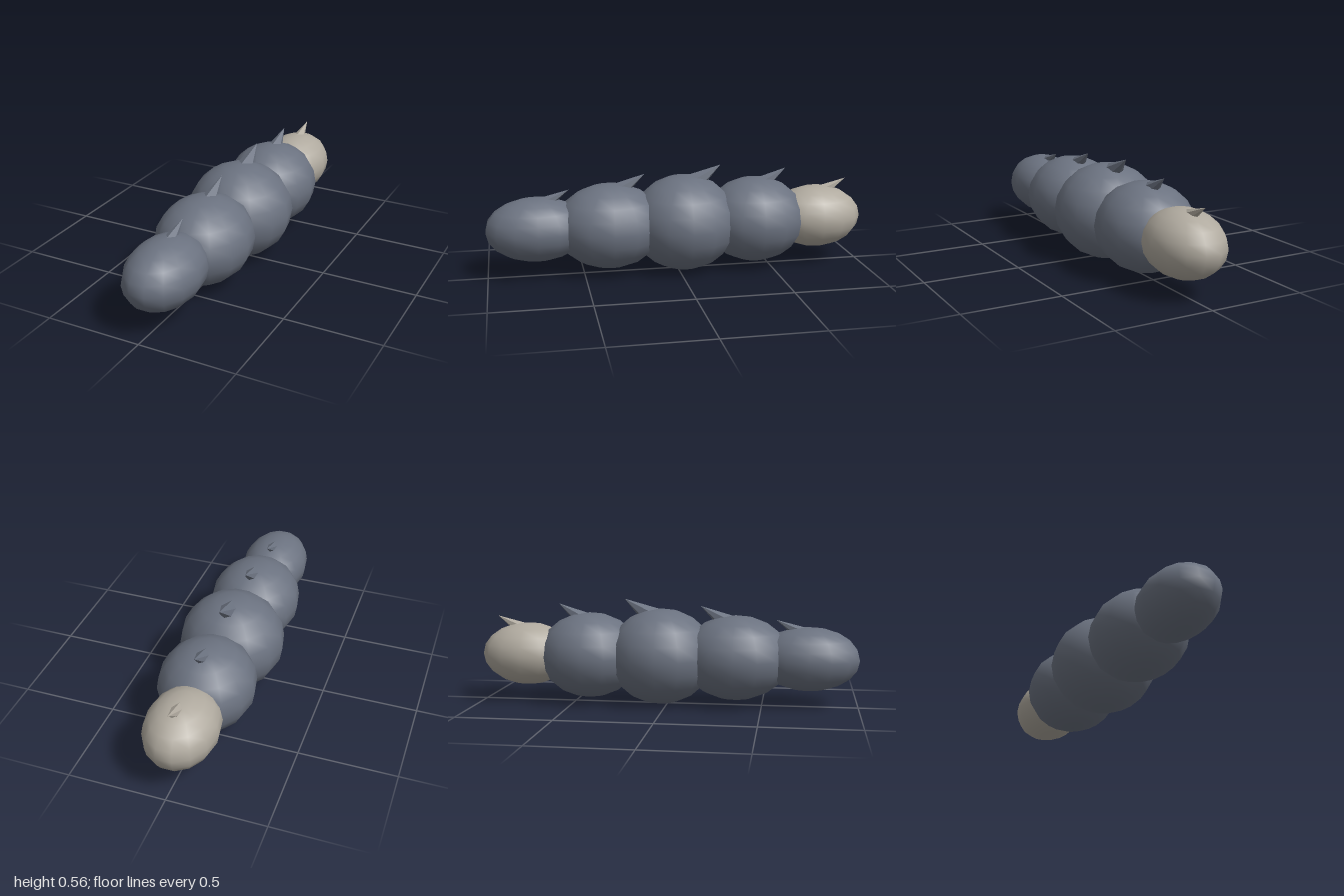
import * as THREE from 'three';

const AXIS_Y = 0.253;

// Ellipsoid body segments, front to back, each with a backward-leaning spine.
// z: centre, r: half sizes in x/y/z, tip: spine tip [y, z], spine: [radius, length, tilt in degrees]
const SEGMENTS = [
  { name: 'frontSegment', z: 0.74, r: [0.182, 0.167, 0.267], tip: [0.455, 0.57], spine: [0.05, 0.2, 62] },
  { name: 'secondSegment', z: 0.36, r: [0.243, 0.223, 0.287], tip: [0.522, 0.175], spine: [0.06, 0.21, 58] },
  { name: 'middleSegment', z: -0.035, r: [0.275, 0.253, 0.285], tip: [0.555, -0.23], spine: [0.07, 0.22, 57] },
  { name: 'fourthSegment', z: -0.42, r: [0.247, 0.227, 0.275], tip: [0.525, -0.587], spine: [0.06, 0.21, 57] },
  { name: 'rearSegment', z: -0.76, r: [0.182, 0.167, 0.246], tip: [0.455, -0.925], spine: [0.05, 0.2, 62], pale: true },
];

function makeSpine([radius, length, tilt], [tipY, tipZ], material) {
  const geometry = new THREE.ConeGeometry(radius, length, 6);
  geometry.translate(0, -length / 2, 0); // pivot at the tip
  const spine = new THREE.Mesh(geometry, material);
  spine.rotation.x = -THREE.MathUtils.degToRad(tilt);
  spine.position.set(0, tipY, tipZ);
  return spine;
}

export function createModel() {
  const model = new THREE.Group();
  model.name = 'segmentedBody';

  for (const s of SEGMENTS) {
    const color = s.pale ? 0xb0aa9f : 0x6b7280;
    const segment = new THREE.Group();
    segment.name = s.name;

    // Smooth-shaded low-poly ellipsoid
    const body = new THREE.Mesh(
      new THREE.SphereGeometry(1, 14, 10).scale(...s.r),
      new THREE.MeshStandardMaterial({ color }),
    );
    body.name = 'body';
    body.position.set(0, AXIS_Y, s.z);

    // Faceted dorsal spine
    const spine = makeSpine(s.spine, s.tip, new THREE.MeshStandardMaterial({ color, flatShading: true }));
    spine.name = 'spine';

    segment.add(body, spine);
    model.add(segment);
  }
  return model;
}
